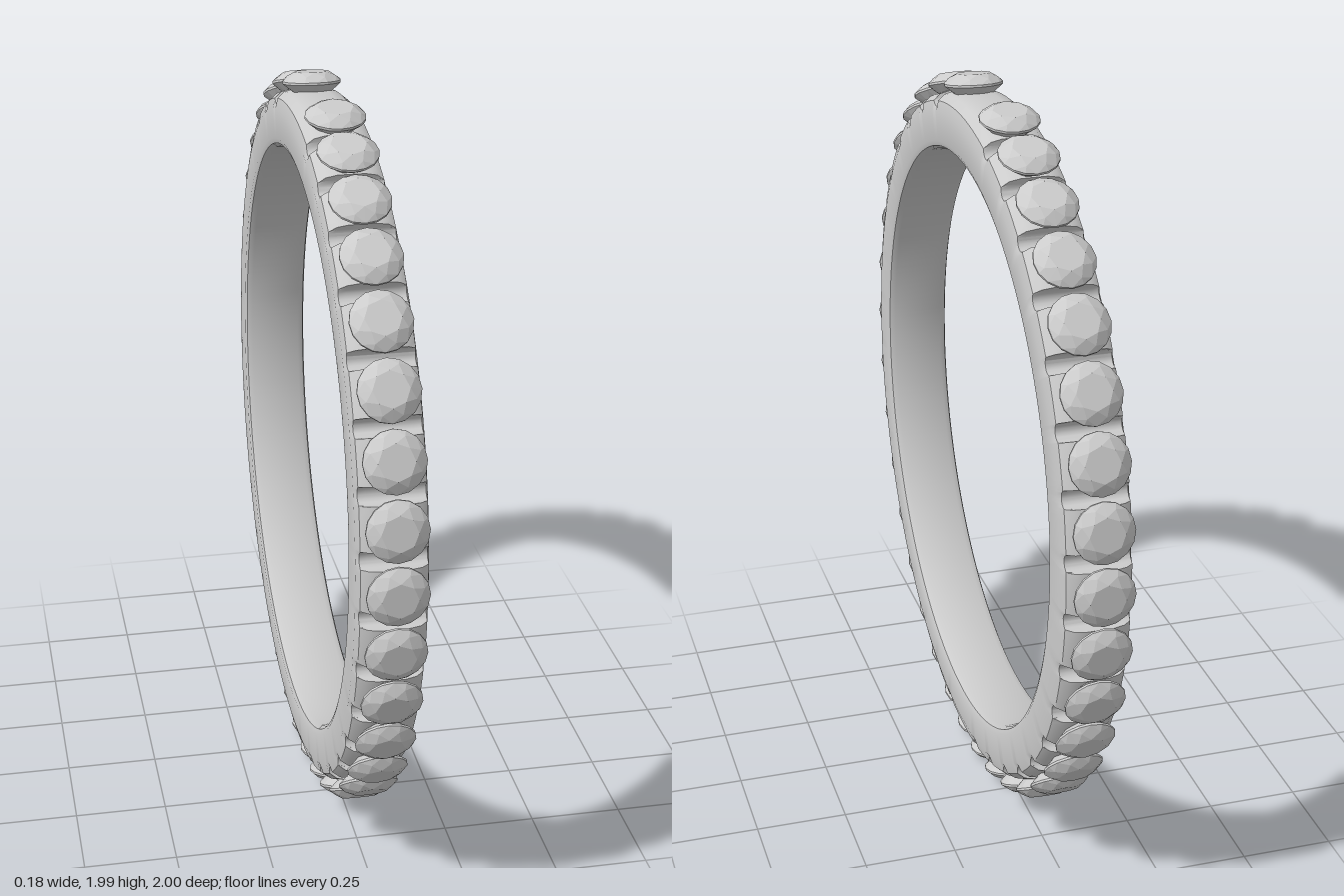
import * as THREE from 'three';
import { toCreasedNormals } from 'three/addons/utils/BufferGeometryUtils.js';
import { ConvexGeometry } from 'three/addons/geometries/ConvexGeometry.js';

const CENTER_Y = 1;
const NOTCH_R = 0.023, NOTCH_CENTER = 0.935;
const STONES_PER_SIDE = 18;

// Angles are measured from the bottom of the ring; spacing widens slightly toward the top.
const notchAngle = (i) => THREE.MathUtils.degToRad(8.2 + 9.5 * i + 0.019 * i * i);
const stoneAngle = (i) => Math.max(notchAngle(i - 0.5), 0.072);

// Band: a rounded cross-section swept round the x axis, cut by notches between stones
function bandGeometry() {
  const half = [[0.035, 0.951], [0.065, 0.944], [0.084, 0.928], [0.091, 0.9], [0.091, 0.82], [0.086, 0.807], [0.07, 0.8]];
  const profile = [...half, ...half.map(([x, r]) => [-x, r]).reverse()];

  const notches = [];
  for (let i = 0; i < STONES_PER_SIDE - 1; i++) notches.push(notchAngle(i), -notchAngle(i));
  const halfWidth = NOTCH_R / NOTCH_CENTER;

  const angles = [];
  for (let i = 0; i < 240; i++) angles.push(-Math.PI + (i / 240) * Math.PI * 2);
  for (const n of notches) {
    for (const s of [-1.02, -0.999, -0.9, -0.7, -0.4, 0, 0.4, 0.7, 0.9, 0.999, 1.02]) angles.push(n + s * halfWidth);
  }
  angles.sort((a, b) => a - b);

  const limit = (t) => {
    const n = notches.find((a) => Math.abs(a - t) < halfWidth);
    if (n === undefined) return Infinity;
    const d = (t - n) * NOTCH_CENTER;
    return NOTCH_CENTER - Math.sqrt(Math.max(0, NOTCH_R ** 2 - d * d));
  };

  const positions = [], index = [], P = profile.length, A = angles.length;
  angles.forEach((t, i) => {
    const max = limit(t);
    profile.forEach(([x, r0], j) => {
      const r = Math.min(r0, max);
      positions.push(x, CENTER_Y - r * Math.cos(t), r * Math.sin(t));
      const i2 = (i + 1) % A, j2 = (j + 1) % P;
      const a = i * P + j, b = i * P + j2, c = i2 * P + j2, d = i2 * P + j;
      index.push(a, b, c, a, c, d);
    });
  });
  const g = new THREE.BufferGeometry();
  g.setAttribute('position', new THREE.Float32BufferAttribute(positions, 3));
  g.setIndex(index);
  return toCreasedNormals(g, 0.6);
}

// Stone: round faceted cut, table facing +y, placed at the ring's outer radius
function stoneGeometry() {
  const points = [new THREE.Vector3(0, 0.908, 0)];
  const ring = (n, r, y, turn = 0) => {
    for (let i = 0; i < n; i++) {
      const a = ((i + turn) / n) * Math.PI * 2;
      points.push(new THREE.Vector3(r * Math.cos(a), y, r * Math.sin(a)));
    }
  };
  ring(8, 0.046, 0.999);
  ring(8, 0.066, 0.988, 0.5);
  ring(16, 0.079, 0.975);
  ring(16, 0.079, 0.969);
  ring(8, 0.045, 0.939, 0.5);
  return new ConvexGeometry(points);
}

export function createModel() {
  const model = new THREE.Group();
  model.name = 'ring';
  const metal = new THREE.MeshStandardMaterial({ color: 0xcccccc });
  const stoneMaterial = new THREE.MeshStandardMaterial({ color: 0xcccccc, flatShading: true });

  const band = new THREE.Mesh(bandGeometry(), metal);
  band.name = 'band';
  model.add(band);

  // Row of stones, mirrored front to back, leaving a gap at the top
  const stones = new THREE.Group();
  stones.name = 'stones';
  const geometry = stoneGeometry();
  for (let i = 0; i < STONES_PER_SIDE; i++) {
    for (const side of [1, -1]) {
      const stone = new THREE.Mesh(geometry, stoneMaterial);
      stone.name = 'stone';
      stone.position.y = CENTER_Y;
      stone.rotation.x = Math.PI - side * stoneAngle(i);
      stones.add(stone);
    }
  }
  model.add(stones);
  return model;
}
